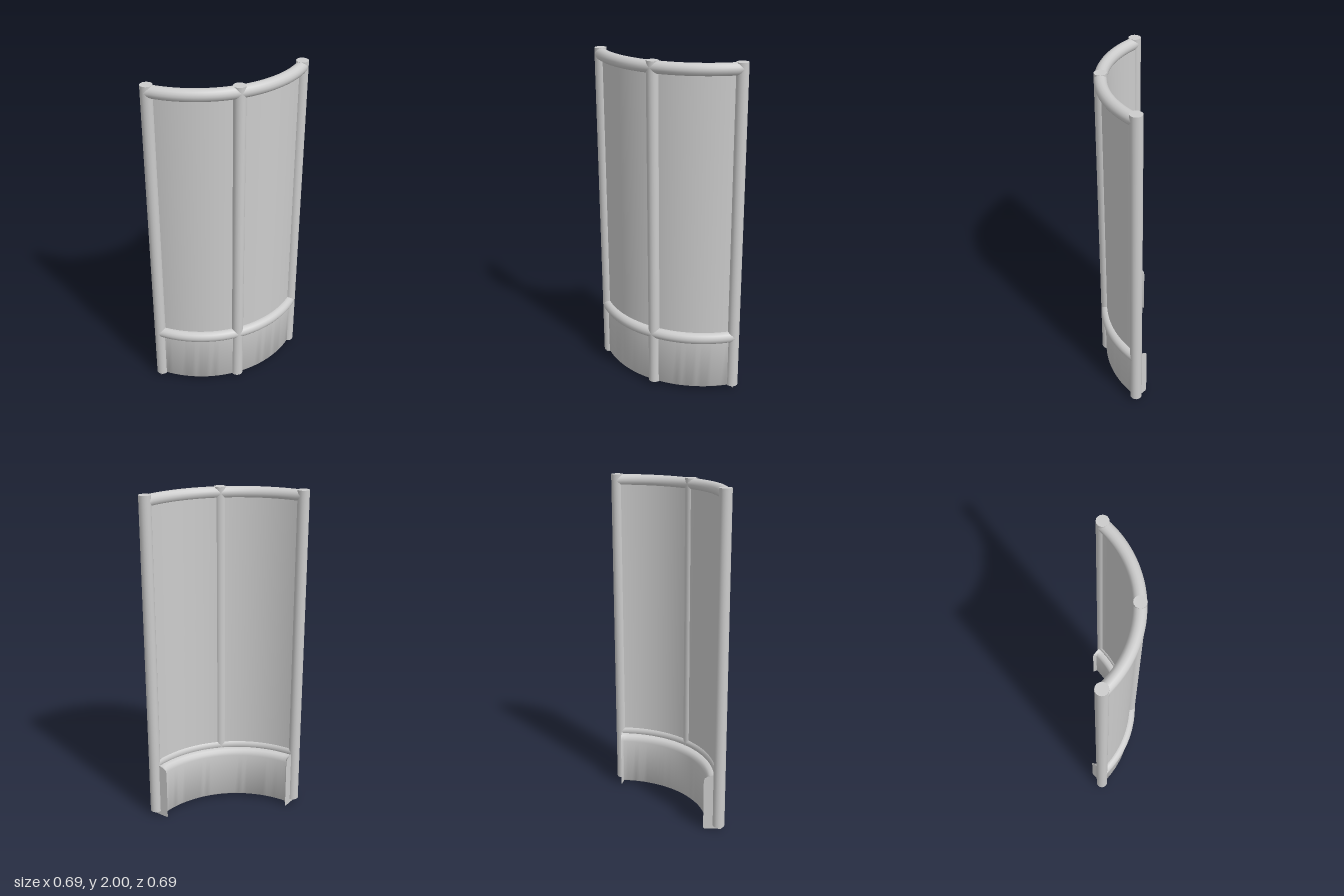
import * as THREE from 'three';
import { toCreasedNormals } from 'three/addons/utils/BufferGeometryUtils.js';

const R = 0.622; // radius of the quarter-circle plan
const C = -R / 2; // arc centre in x and z
const TUBE = 0.035;

// Sweep a convex counter-clockwise (radius, height) profile round the quarter arc.
// An optional endProfile flares both ends out over a short distance.
function sweepArc(profile, segments, crease, endProfile) {
  const rings = [];
  const addRing = (phi, pts) => rings.push(pts.map(([r, y]) =>
    new THREE.Vector3(C + r * Math.sin(phi), y, C + r * Math.cos(phi))));
  const inset = endProfile ? 0.027 : 0;
  if (endProfile) addRing(0, endProfile);
  for (let i = 0; i <= segments; i++) {
    addRing(inset + (Math.PI / 2 - 2 * inset) * i / segments, profile);
  }
  if (endProfile) addRing(Math.PI / 2, endProfile);

  const pos = [];
  const tri = (...corners) => corners.forEach((v) => pos.push(v.x, v.y, v.z));
  const n = profile.length;
  for (let i = 0; i < rings.length - 1; i++) {
    const a = rings[i], b = rings[i + 1];
    for (let j = 0; j < n; j++) {
      const k = (j + 1) % n;
      tri(a[j], b[j], b[k]);
      tri(a[j], b[k], a[k]);
    }
  }
  // end caps
  const first = rings[0], last = rings[rings.length - 1];
  for (let j = 1; j < n - 1; j++) {
    tri(first[0], first[j], first[j + 1]);
    tri(last[0], last[j + 1], last[j]);
  }
  const geo = new THREE.BufferGeometry();
  geo.setAttribute('position', new THREE.Float32BufferAttribute(pos, 3));
  return toCreasedNormals(geo, crease);
}

export function createModel() {
  const model = new THREE.Group();
  model.name = 'curvedScreen';
  const grey = new THREE.MeshStandardMaterial({ color: 0xcccccc });
  grey.name = 'light grey';

  const add = (name, geometry) => {
    const mesh = new THREE.Mesh(geometry, grey);
    mesh.name = name;
    model.add(mesh);
    return mesh;
  };

  // Three upright posts at the ends and middle of the arc
  const postGeo = toCreasedNormals(new THREE.CylinderGeometry(TUBE, TUBE, 1.975, 16), 0.9);
  ['rightPost', 'middlePost', 'leftPost'].forEach((name, i) => {
    const phi = i * Math.PI / 4;
    add(name, postGeo).position.set(C + R * Math.sin(phi), 1.0125, C + R * Math.cos(phi));
  });

  // Round rails above and below the panel
  for (const [name, y] of [['lowerRail', 0.358], ['topRail', 1.965]]) {
    const circle = Array.from({ length: 16 }, (_, i) => {
      const a = i * Math.PI / 8;
      return [R + TUBE * Math.cos(a), y + TUBE * Math.sin(a)];
    });
    add(name, sweepArc(circle, 32, 0.9));
  }

  // Tall curved panel
  add('panel', sweepArc([[0.597, 0.35], [0.62, 0.35], [0.62, 1.965], [0.597, 1.965]], 32, 0.6));

  // Thicker base wall with a rounded inner top edge and flared ends
  const base = [
    [0.556, 0.022], [0.625, 0.022], [0.631, 0.03], [0.631, 0.345],
    [0.585, 0.345], [0.566, 0.338], [0.554, 0.325], [0.55, 0.305], [0.55, 0.03],
  ];
  const baseEnd = [
    [0.537, 0], [0.638, 0], [0.645, 0.008], [0.645, 0.35],
    [0.585, 0.35], [0.555, 0.343], [0.537, 0.332], [0.531, 0.315], [0.531, 0.008],
  ];
  add('baseWall', sweepArc(base, 32, 0.7, baseEnd));

  return model;
}
